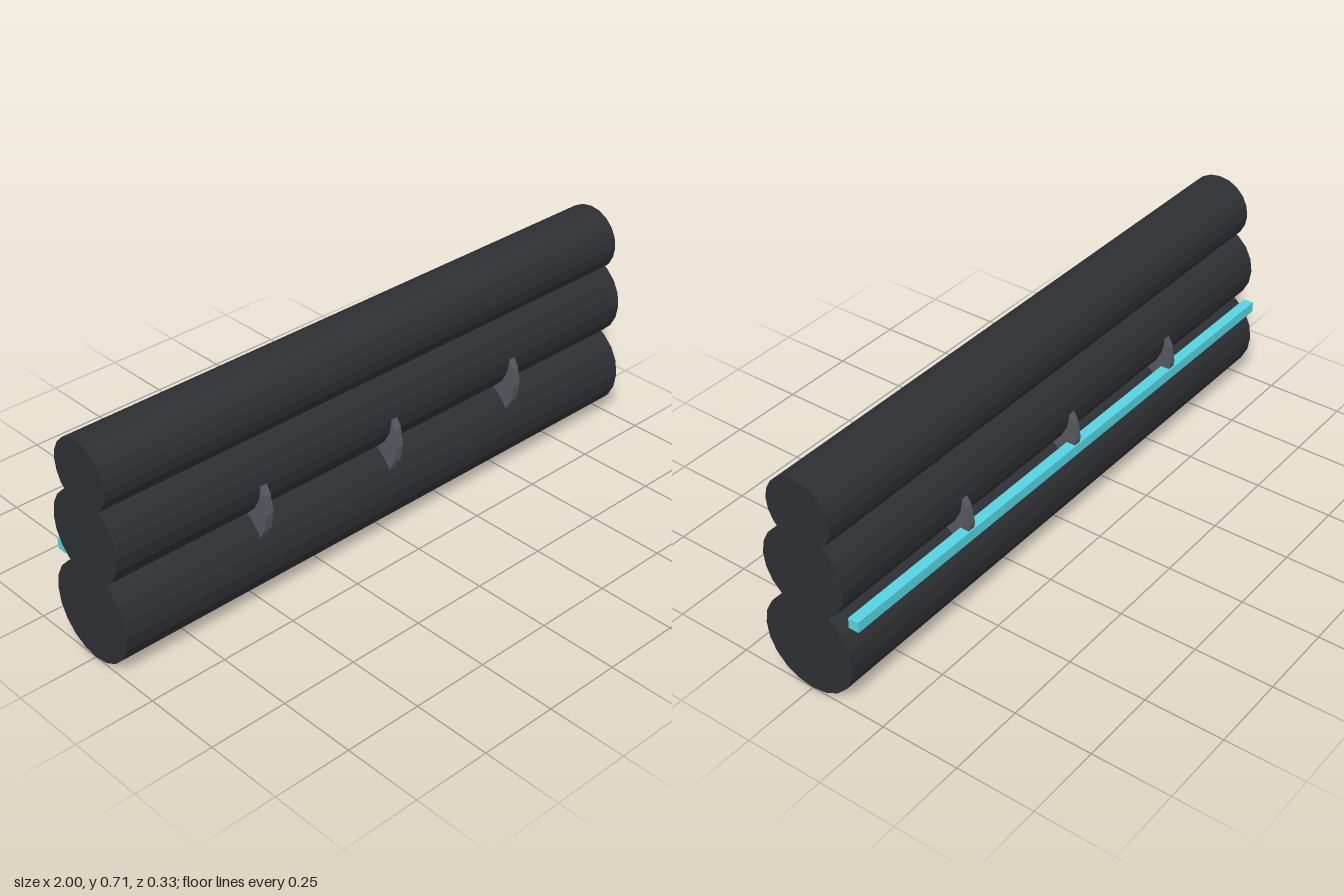
import * as THREE from 'three';

const material = (color) => new THREE.MeshStandardMaterial({ color, flatShading: true });

export function createModel() {
  const model = new THREE.Group();
  const dark = material(0x2e2f33);
  const grey = material(0x55585f);
  const cyan = material(0x55d3e0);

  // Faceted cylinder lying along x
  function bar(name, radius, length, sides, mat, x, y) {
    const geometry = new THREE.CylinderGeometry(radius, radius, length, sides);
    geometry.rotateZ(Math.PI / 2);
    const mesh = new THREE.Mesh(geometry, mat);
    mesh.name = name;
    mesh.position.set(x, y, 0);
    model.add(mesh);
  }

  // Three stacked logs, thinner towards the top
  bar('lowerLog', 0.155, 2, 20, dark, 0, 0.155);
  bar('middleLog', 0.14, 2, 20, dark, 0, 0.405);
  bar('upperLog', 0.109, 2, 20, dark, 0, 0.601);

  // Thin binding discs showing in the groove between the lower logs
  [-0.5, 0, 0.5].forEach((x, i) => bar(`bindingDisc${i + 1}`, 0.165, 0.024, 18, grey, x, 0.325));

  // Coloured strip along the back groove
  const strip = new THREE.Mesh(new THREE.BoxGeometry(1.96, 0.034, 0.034), cyan);
  strip.name = 'backStrip';
  strip.position.set(0, 0.289, -0.149);
  model.add(strip);

  return model;
}
